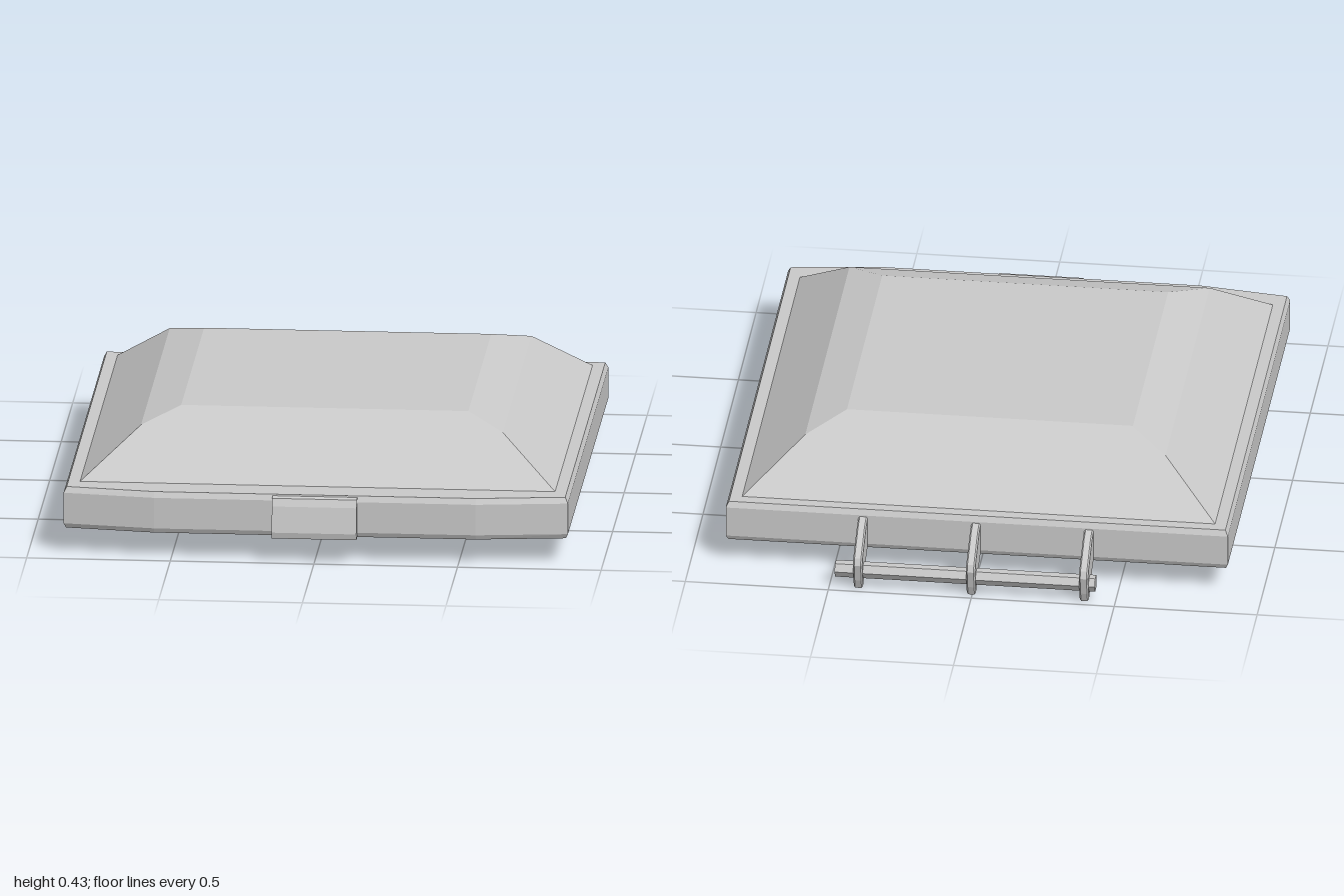
import * as THREE from 'three';

const grey = new THREE.MeshStandardMaterial({ color: 0xcacaca });
grey.name = 'plain grey';

// Six-point loop, counter-clockwise from above; the front edge bows out through two middle points.
const ring = (y, x, back, corner, midX, front) => [
  [-x, y, back], [-x, y, corner], [-midX, y, front],
  [midX, y, front], [x, y, corner], [x, y, back],
];
// Outline of the rim, moved inward by d.
const rimRing = (d, y) => ring(y, 0.878 - d, -0.841 + d, 0.919 - d, 0.56, 0.96 - d);
// Inner wall of the rim, which bows less than the outside.
const innerRing = (y) => ring(y, 0.82, -0.785, 0.865, 0.56, 0.895);
// Plain rectangle with the same number of points.
const rectRing = (y, x, back, front) => ring(y, x, back, front, x * 0.6, front);

// Flat-faced skin through a list of loops, optionally closed at either end.
function loft(name, rings, capStart = false, capEnd = false) {
  const pos = [];
  const n = rings[0].length;
  const tri = (a, b, c) => pos.push(...a, ...b, ...c);
  for (let i = 0; i < rings.length - 1; i++) {
    for (let j = 0; j < n; j++) {
      const k = (j + 1) % n;
      const [lo, hi] = [rings[i], rings[i + 1]];
      tri(lo[j], lo[k], hi[k]);
      tri(lo[j], hi[k], hi[j]);
    }
  }
  const first = rings[0], last = rings[rings.length - 1];
  for (let j = 1; j < n - 1; j++) {
    if (capStart) tri(first[0], first[j + 1], first[j]);
    if (capEnd) tri(last[0], last[j], last[j + 1]);
  }
  const geo = new THREE.BufferGeometry();
  geo.setAttribute('position', new THREE.Float32BufferAttribute(pos, 3));
  geo.computeVertexNormals();
  const mesh = new THREE.Mesh(geo, grey);
  mesh.name = name;
  return mesh;
}

// Side profile given as [z, y], extruded across x with slightly chamfered edges.
function sidePlate(name, profile, width, x, chamfer) {
  const shape = new THREE.Shape(profile.map(([z, y]) => new THREE.Vector2(z, y)));
  const depth = width - 2 * chamfer;
  const geo = new THREE.ExtrudeGeometry(shape, {
    depth, bevelEnabled: chamfer > 0, bevelSegments: 1,
    bevelSize: chamfer, bevelThickness: chamfer, bevelOffset: -chamfer,
  });
  geo.translate(0, 0, -depth / 2);
  geo.rotateY(-Math.PI / 2);
  const mesh = new THREE.Mesh(geo, grey);
  mesh.name = name;
  mesh.position.x = x;
  return mesh;
}

export function createModel() {
  const lid = new THREE.Group();
  lid.name = 'lid';

  // Rim: underside flange, inner wall, bottom edge, outer wall, top flange
  lid.add(loft('rim', [
    rectRing(0.195, 0.795, -0.76, 0.81),
    innerRing(0.195),
    innerRing(0.088),
    rimRing(0.008, 0.088),
    rimRing(0, 0.105),
    rimRing(0, 0.215),
    rimRing(0.01, 0.235),
    rectRing(0.235, 0.827, -0.79, 0.84),
  ]));

  // Raised top, outside
  lid.add(loft('domeOutside', [
    rectRing(0.235, 0.827, -0.79, 0.84),
    rectRing(0.39, 0.63, -0.598, 0.648),
    rectRing(0.43, 0.5, -0.47, 0.525),
  ], false, true));

  // Raised top, hollow inside
  lid.add(loft('domeInside', [
    rectRing(0.41, 0.497, -0.467, 0.522),
    rectRing(0.372, 0.615, -0.583, 0.633),
    rectRing(0.195, 0.795, -0.76, 0.81),
  ], true, false));

  // Front latch
  lid.add(sidePlate('latch', [
    [0.93, 0.088], [0.995, 0.088], [1.0, 0.11], [0.984, 0.2], [0.972, 0.226], [0.93, 0.235],
  ], 0.295, 0, 0));

  // Hinge: three curved arms carrying a six-sided rod
  const hinge = new THREE.Group();
  hinge.name = 'hinge';
  const arm = [
    [-0.835, 0.09], [-0.865, 0.08], [-0.95, 0.01], [-0.972, 0.0], [-0.985, 0.035],
    [-1.0, 0.1], [-0.99, 0.125], [-0.885, 0.197], [-0.835, 0.212],
  ];
  for (const x of [-0.392, 0.003, 0.398]) hinge.add(sidePlate('hingeArm', arm, 0.032, x, 0.005));
  const rodGeo = new THREE.CylinderGeometry(0.029, 0.029, 0.91, 6).toNonIndexed();
  rodGeo.computeVertexNormals();
  rodGeo.rotateZ(Math.PI / 2);
  const rod = new THREE.Mesh(rodGeo, grey);
  rod.name = 'hingeRod';
  rod.position.set(0.025, 0.063, -0.955);
  hinge.add(rod);
  lid.add(hinge);

  return lid;
}
